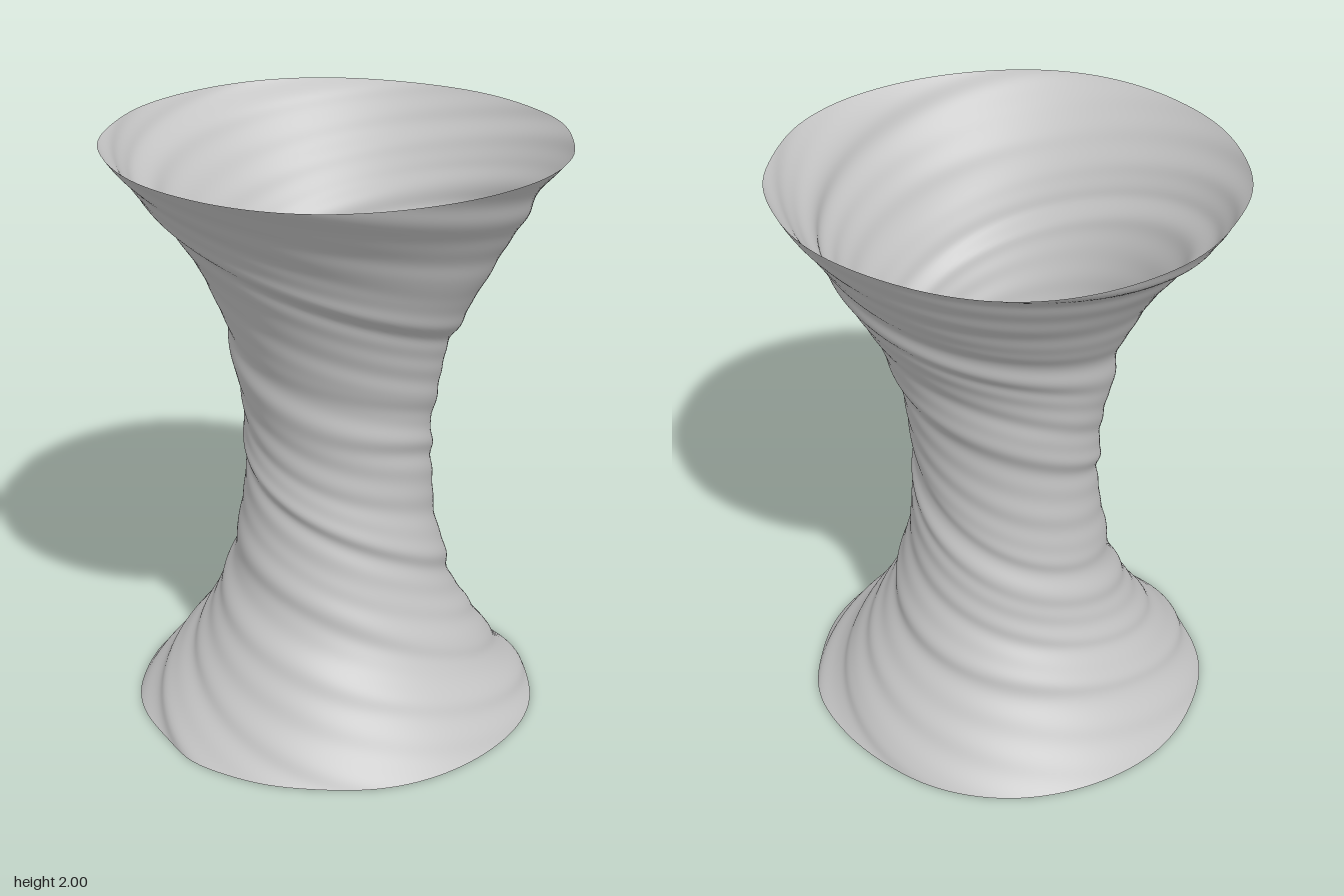
import * as THREE from 'three';
import { mergeVertices } from 'three/addons/utils/BufferGeometryUtils.js';

// Mean radius at every 0.2 of height, from base to rim
const RADII = [0.69, 0.53, 0.41, 0.35, 0.32, 0.315, 0.34, 0.39, 0.485, 0.605, 0.755];

// Soft, uneven helical folds that fall as they wind round the body
function fold(angle, y) {
  const wobble = 1.1 * Math.sin(2 * angle + 7 * y) + 0.8 * Math.sin(angle - 4 * y);
  const phase = 5 * angle + 37 * y + wobble;
  const strength = 0.6 + 0.4 * Math.sin(2 * angle + 15 * y + 1);
  const main = strength * Math.sin(phase + 0.4 * Math.sin(phase));
  const fine = Math.sin(9 * angle + 66 * y + 1.3 + wobble);
  const broad = Math.sin(3 * angle + 22 * y + 0.6);
  return 0.6 * main + 0.15 * fine + 0.3 * broad;
}

function twistedShell() {
  const profile = new THREE.SplineCurve(RADII.map((r, i) => new THREE.Vector2(r, i * 0.2)));
  const geometry = new THREE.LatheGeometry(profile.getPoints(180), 120);
  const position = geometry.attributes.position;
  for (let i = 0; i < position.count; i++) {
    const x = position.getX(i), y = position.getY(i), z = position.getZ(i);
    const angle = Math.atan2(x, z), radius = Math.hypot(x, z);
    const r = radius + (0.006 + 0.012 * radius) * fold(angle, y);
    // The waist leans to the back, and the upper flare to the back left
    const waist = Math.sin(Math.PI * y / 2);
    const flare = Math.sin(Math.PI * THREE.MathUtils.clamp((y - 1.2) / 0.8, 0, 1)) ** 2;
    position.setXYZ(i, r * Math.sin(angle) + 0.022 * flare, y,
      r * Math.cos(angle) - 0.014 * waist - 0.018 * flare);
  }
  // Weld the seam so the shading runs on smoothly
  geometry.deleteAttribute('uv');
  geometry.deleteAttribute('normal');
  const welded = mergeVertices(geometry, 1e-4);
  welded.computeVertexNormals();
  return welded;
}

export function createModel() {
  const group = new THREE.Group();
  group.name = 'twistedHourglass';
  const grey = new THREE.MeshStandardMaterial({ color: 0xc4c4c4, side: THREE.DoubleSide });
  grey.name = 'light grey';
  const shell = new THREE.Mesh(twistedShell(), grey);
  shell.name = 'twistedShell';
  group.add(shell);
  return group;
}
